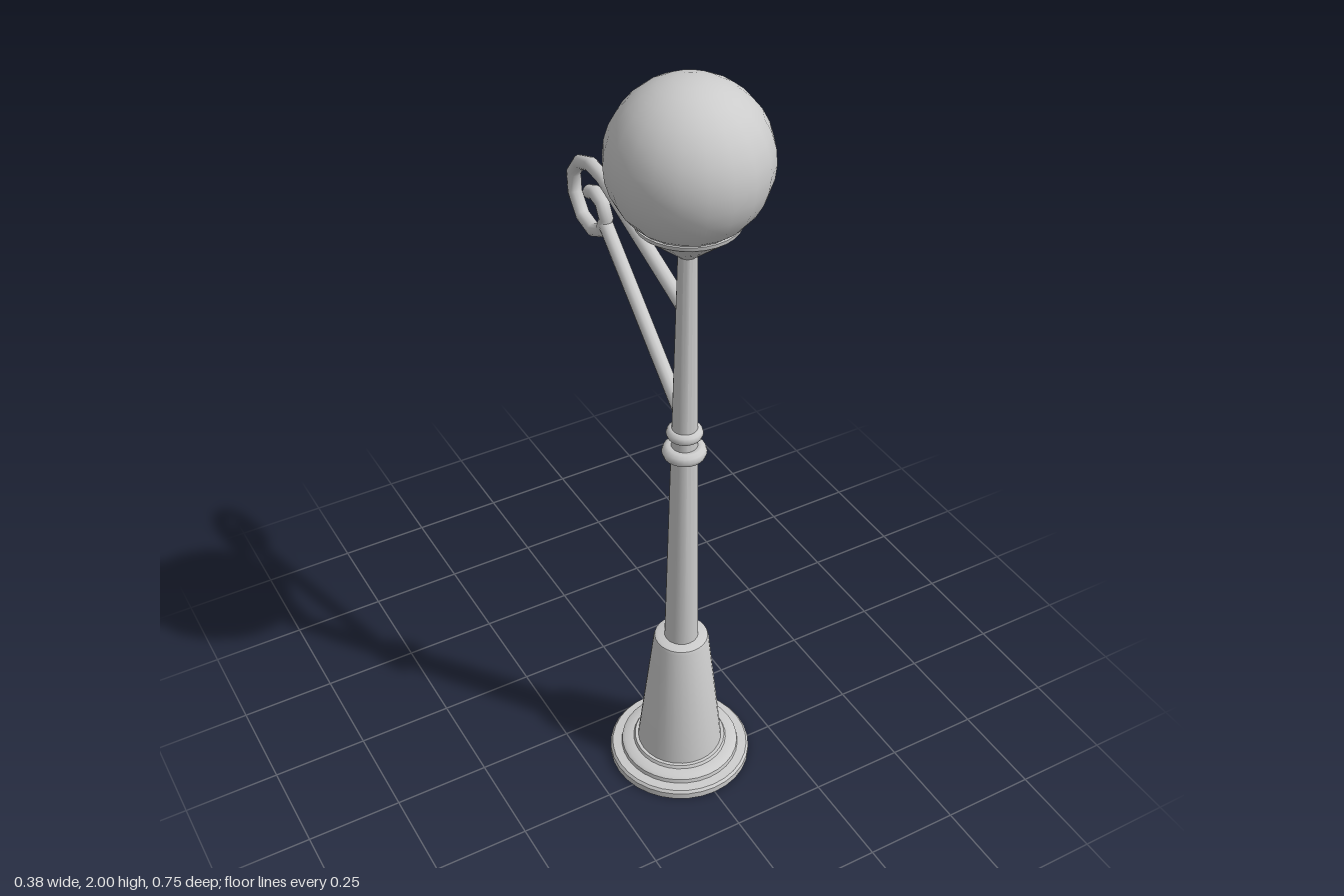
import * as THREE from 'three';
import { toCreasedNormals } from 'three/addons/utils/BufferGeometryUtils.js';

const material = new THREE.MeshStandardMaterial({ color: 0xcccccc });
const AXIS_Z = 0.19;
const TUBE_R = 0.018;

function part(name, geometry) {
  const mesh = new THREE.Mesh(geometry, material);
  mesh.name = name;
  return mesh;
}

// Turned part from [radius, y] pairs, bottom to top
function turned(name, profile, sides = 28) {
  const points = profile.map(([r, y]) => new THREE.Vector2(r, y));
  return part(name, toCreasedNormals(new THREE.LatheGeometry(points, sides), 0.6));
}

// Straight-segment path with mitred corners
class Polyline extends THREE.Curve {
  constructor(points) {
    super();
    this.points = points;
  }
  getUtoTmapping(u) { return u; }
  getPoint(t, target = new THREE.Vector3()) {
    const n = this.points.length - 1;
    const i = Math.min(Math.floor(t * n + 1e-6), n - 1);
    return target.lerpVectors(this.points[i], this.points[i + 1], t * n - i);
  }
  getTangent(t, target = new THREE.Vector3()) {
    const p = this.points, n = p.length - 1, i = Math.round(t * n);
    target.set(0, 0, 0);
    if (i > 0) target.add(p[i].clone().sub(p[i - 1]).normalize());
    if (i < n) target.add(p[i + 1].clone().sub(p[i]).normalize());
    return target.normalize();
  }
}

// Round bar along [z, y] pairs
function bar(name, path) {
  const points = path.map(([z, y]) => new THREE.Vector3(0, y, z));
  return part(name, new THREE.TubeGeometry(new Polyline(points), points.length - 1, TUBE_R, 12));
}

export function createModel() {
  const model = new THREE.Group();
  model.name = 'streetLamp';

  // Everything turned about the post axis
  const column = new THREE.Group();
  column.name = 'column';
  column.position.z = AXIS_Z;
  model.add(column);

  column.add(turned('plinth', [
    [0, 0], [0.188, 0], [0.188, 0.018], [0.182, 0.025], [0.158, 0.027],
    [0.156, 0.038], [0.148, 0.044], [0.125, 0.046], [0.121, 0.054], [0, 0.054],
  ], 32));
  column.add(turned('pedestal', [
    [0.113, 0.05], [0.072, 0.415], [0.069, 0.424], [0.06, 0.428], [0, 0.428],
  ]));
  column.add(turned('post', [[0.044, 0.42], [0.032, 1.06], [0.022, 1.6]], 20));

  // Collar rings around the post
  for (const [y, radius, thickness] of [[1.03, 0.037, 0.018], [1.085, 0.03, 0.015]]) {
    const ring = part('collarRing', new THREE.TorusGeometry(radius, thickness, 10, 24));
    ring.rotation.x = Math.PI / 2;
    ring.position.y = y;
    column.add(ring);
  }

  // Cup and globe
  column.add(turned('globeCup', [
    [0, 1.577], [0.022, 1.577], [0.12, 1.658], [0.122, 1.668], [0.108, 1.668], [0, 1.62],
  ]));
  const globe = part('globe', new THREE.SphereGeometry(0.187, 20, 16));
  globe.position.y = 1.813;
  column.add(globe);

  // Scrolled bracket behind the post
  const bracket = new THREE.Group();
  bracket.name = 'bracket';
  const tip = [-0.273, 1.505];
  bracket.add(bar('scrollArm', [
    [0.185, 1.429], [-0.206, 1.578], [-0.266, 1.583], [-0.323, 1.562], [-0.357, 1.52],
    [-0.354, 1.467], [-0.315, 1.42], [-0.258, 1.407], [-0.21, 1.43], [-0.192, 1.472],
    [-0.211, 1.505], [-0.248, 1.516], tip,
  ]));
  const end = part('scrollTip', new THREE.SphereGeometry(TUBE_R, 12, 8));
  end.position.set(0, tip[1], tip[0]);
  bracket.add(end);
  bracket.add(bar('strut', [[0.185, 1.118], [-0.194, 1.455]]));
  model.add(bracket);

  return model;
}
